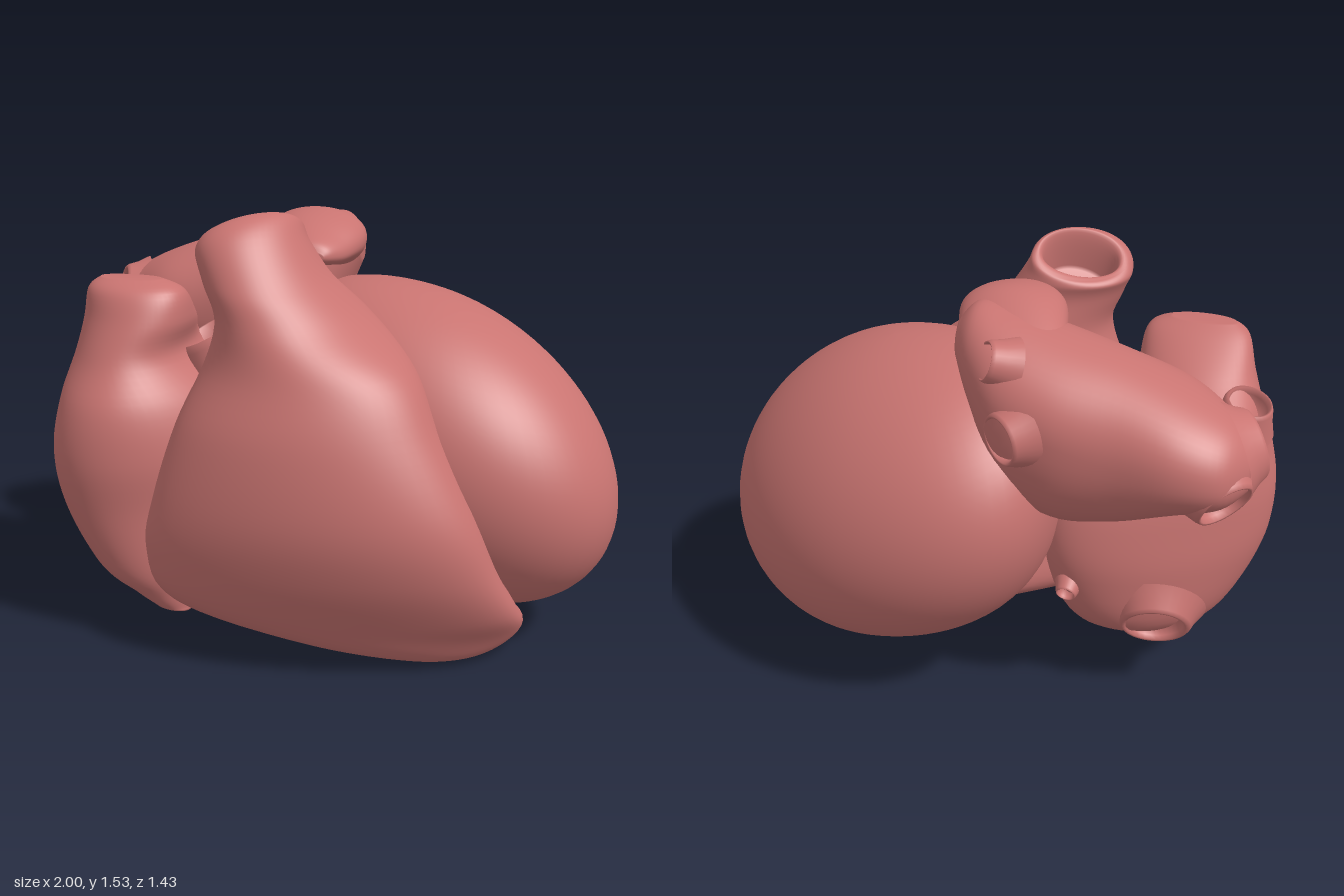
import * as THREE from 'three';

const material = new THREE.MeshStandardMaterial({ color: 0xc97471, side: THREE.DoubleSide });

function addMesh(group, name, geometry) {
  const mesh = new THREE.Mesh(geometry, material);
  mesh.name = name;
  group.add(mesh);
  return mesh;
}

// Catmull-Rom blend of whole rows, so a few sections give a smooth body
function sampleRows(rows, t) {
  const f = t * (rows.length - 1);
  const i = Math.min(Math.floor(f), rows.length - 2);
  const k = f - i;
  const row = j => rows[Math.max(0, Math.min(rows.length - 1, j))];
  return rows[0].map((_, c) => {
    const [a, b, d, e] = [row(i - 1)[c], row(i)[c], row(i + 1)[c], row(i + 2)[c]];
    return b + 0.5 * k * (d - a + k * (2 * a - 5 * b + 4 * d - e + k * (3 * (b - d) + e - a)));
  });
}

// Loft of skewed ovals with closed ends. Row: station, u0, v0, u1, v1, bulge up, bulge down.
// place(s, u, v, t) turns station and section coordinates into [x, y, z].
function loft(rows, place) {
  const around = 56, along = (rows.length - 1) * 6;
  const positions = [], index = [];
  for (let i = 0; i <= along; i++) {
    const t = i / along;
    const [s, u0, v0, u1, v1, up, down] = sampleRows(rows, t);
    for (let j = 0; j < around; j++) {
      const a = (j / around) * Math.PI * 2;
      const w = (1 - Math.cos(a)) / 2;
      const sin = Math.sin(a);
      const v = v0 + (v1 - v0) * w + (sin > 0 ? up : down) * Math.sign(sin) * Math.abs(sin) ** 0.92;
      positions.push(...place(s, u0 + (u1 - u0) * w, v, t));
      if (i < along) {
        const p = i * around + j, q = i * around + (j + 1) % around;
        index.push(p, q, p + around, q, q + around, p + around);
      }
    }
  }
  // Fan caps around the mean of the end rings
  for (const ring of [0, along]) {
    const centre = [0, 0, 0];
    for (let j = 0; j < around; j++)
      for (let c = 0; c < 3; c++) centre[c] += positions[(ring * around + j) * 3 + c] / around;
    const m = positions.length / 3;
    positions.push(...centre);
    for (let j = 0; j < around; j++) {
      const p = ring * around + j, q = ring * around + (j + 1) % around;
      index.push(...(ring ? [m, p, q] : [m, q, p]));
    }
  }
  const geometry = new THREE.BufferGeometry();
  geometry.setAttribute('position', new THREE.Float32BufferAttribute(positions, 3));
  geometry.setIndex(index);
  geometry.computeVertexNormals();
  return geometry;
}

// Left ventricle: an egg with a blunt base, leaning down and forward to the apex
function eggGeometry() {
  const egg = new THREE.SphereGeometry(1, 64, 48);
  const p = egg.attributes.position;
  for (let i = 0; i < p.count; i++) {
    const radius = Math.hypot(p.getY(i), p.getZ(i));
    const widen = p.getX(i) < 0 ? Math.max(radius, 1e-4) ** -0.25 : 1;
    p.setXYZ(i, p.getX(i), p.getY(i) * widen, p.getZ(i) * widen);
  }
  egg.applyMatrix4(new THREE.Matrix4().set(
    0.65, 0, 0, 0.35,
    -0.15, 0.55, 0, 0.675,
    0.19, 0.03, 0.58, -0.095,
    0, 0, 0, 1));
  egg.computeVertexNormals();
  return egg;
}

// Short open vessel with a flared foot, rounded rim and recessed floor
function addVessel(group, name, position, direction, radius, length) {
  const profile = [[1.45, -0.6], [1.18, 0.2], [1.04, 0.8], [0.96, 1], [0.88, 0.98], [0.82, 0.7], [0.8, -0.2], [0, -0.25]]
    .map(([r, h]) => new THREE.Vector2(r * radius, h * length));
  const mesh = addMesh(group, name, new THREE.LatheGeometry(profile, 32));
  mesh.position.set(...position);
  mesh.quaternion.setFromUnitVectors(new THREE.Vector3(0, 1, 0), new THREE.Vector3(...direction).normalize());
}

export function createModel() {
  const heart = new THREE.Group();
  heart.name = 'heart';

  addMesh(heart, 'leftVentricle', eggGeometry());

  // Right ventricle: wraps the front and rises into the outflow trunk
  const rightVentricle = [
    [0.005, 0.28, 0.2, 0.52, 0.18, 0.13, 0.1],
    [0.03, 0.12, 0.24, 0.62, 0.18, 0.21, 0.22],
    [0.1, -0.18, 0.32, 0.69, 0.2, 0.25, 0.28],
    [0.22, -0.54, 0.38, 0.67, 0.36, 0.22, 0.32],
    [0.4, -0.61, 0.4, 0.6, 0.46, 0.24, 0.3],
    [0.6, -0.57, 0.41, 0.53, 0.48, 0.265, 0.3],
    [0.85, -0.49, 0.38, 0.41, 0.43, 0.28, 0.3],
    [1.05, -0.4, 0.32, 0.31, 0.35, 0.28, 0.26],
    [1.2, -0.36, 0.3, 0.14, 0.2, 0.3, 0.18],
    [1.32, -0.4, 0.29, 0.01, 0.2, 0.26, 0.14],
    [1.41, -0.43, 0.28, -0.07, 0.17, 0.2, 0.12],
    [1.465, -0.41, 0.27, -0.1, 0.15, 0.11, 0.09],
    [1.45, -0.38, 0.26, -0.13, 0.17, 0.08, 0.06],
    [1.3, -0.36, 0.26, -0.13, 0.2, 0.08, 0.06],
  ];
  // The trunk opening tilts backward and to the right
  addMesh(heart, 'rightVentricle', loft(rightVentricle, (s, u, v, t) => {
    const tilt = THREE.MathUtils.smoothstep(t, 0.68, 0.9);
    return [u, s + tilt * (0.75 * (v - 0.22) + 0.5 * (u + 0.26)), v];
  }));

  // Right atrium: reaches behind the trunk to the base, with a flattened upper ear
  const rightAtrium = [
    [0.13, -0.62, 0.3, -0.48, 0.34, 0.05, 0.05],
    [0.18, -0.75, 0.14, -0.4, 0.16, 0.24, 0.2],
    [0.28, -0.87, 0.1, -0.3, -0.06, 0.4, 0.3],
    [0.5, -0.975, 0.1, -0.24, -0.18, 0.48, 0.29],
    [0.7, -1, 0.1, -0.24, -0.18, 0.51, 0.28],
    [0.88, -0.97, 0.08, -0.34, -0.1, 0.47, 0.27],
    [1.03, -0.93, 0.02, -0.5, 0.04, 0.36, 0.28],
    [1.15, -0.89, 0.08, -0.49, 0.14, 0.23, 0.2],
    [1.25, -0.86, 0.14, -0.51, 0.18, 0.13, 0.1],
    [1.29, -0.81, 0.16, -0.59, 0.18, 0.05, 0.04],
  ];
  addMesh(heart, 'rightAtrium', loft(rightAtrium, (s, u, v) => [u, s, v]));

  // Left atrium: lies across the back, sections run along x
  const leftAtrium = [
    [-0.92, -0.52, 1.06, -0.36, 1.08, 0.08, 0.08],
    [-0.84, -0.63, 1.06, -0.27, 1.08, 0.15, 0.13],
    [-0.7, -0.665, 1.08, -0.15, 1.1, 0.2, 0.2],
    [-0.5, -0.64, 1.1, -0.12, 1.12, 0.25, 0.3],
    [-0.3, -0.63, 1.15, -0.11, 1.2, 0.235, 0.38],
    [-0.13, -0.58, 1.2, -0.12, 1.26, 0.22, 0.34],
    [-0.02, -0.48, 1.28, -0.18, 1.34, 0.15, 0.16],
    [0.04, -0.38, 1.33, -0.25, 1.36, 0.06, 0.06],
  ];
  addMesh(heart, 'leftAtrium', loft(leftAtrium, (s, u, v) => [s, v, u]));

  // Left ear: a soft tongue reaching forward, sections run along z
  const leftEar = [
    [-0.5, -0.26, 1.3, -0.08, 1.28, 0.06, 0.06],
    [-0.42, -0.32, 1.34, 0.0, 1.32, 0.08, 0.12],
    [-0.25, -0.3, 1.38, 0.06, 1.38, 0.105, 0.13],
    [-0.12, -0.27, 1.4, 0.07, 1.38, 0.09, 0.09],
    [0, -0.2, 1.39, 0.03, 1.36, 0.065, 0.055],
    [0.07, -0.16, 1.37, -0.01, 1.36, 0.045, 0.035],
    [0.095, -0.11, 1.365, -0.04, 1.36, 0.015, 0.015],
  ];
  addMesh(heart, 'leftEar', loft(leftEar, (s, u, v) => [u, v, s]));

  // Tissue bridging the chambers at the base
  const base = addMesh(heart, 'baseTissue', new THREE.SphereGeometry(1, 40, 28));
  base.scale.set(0.28, 0.34, 0.25);
  base.position.set(-0.28, 0.75, 0.05);

  // Great vessels and pulmonary veins
  const vessels = [
    ['aorticOpening', [-0.38, 0.97, 0.05], [-0.45, 0.85, 0.1], 0.14, 0.14],
    ['upperCaval', [-0.87, 1.06, -0.1], [-0.25, 1, -0.25], 0.08, 0.07],
    ['lowerCaval', [-0.64, 0.35, -0.27], [-0.1, -0.5, -0.85], 0.12, 0.05],
    ['coronarySinus', [-0.34, 0.46, -0.34], [0.1, -0.4, -0.9], 0.035, 0.03],
    ['rightUpperVein', [-0.88, 1.1, -0.4], [-0.88, 0.25, 0.4], 0.11, 0.05],
    ['rightLowerVein', [-0.82, 1.0, -0.52], [-0.6, -0.5, -0.6], 0.1, 0.06],
    ['leftUpperVein', [-0.14, 1.34, -0.49], [0.8, 0.3, -0.45], 0.065, 0.06],
    ['leftLowerVein', [-0.19, 1.14, -0.57], [0.65, -0.1, -0.7], 0.085, 0.05],
  ];
  vessels.forEach(v => addVessel(heart, ...v));

  return heart;
}
